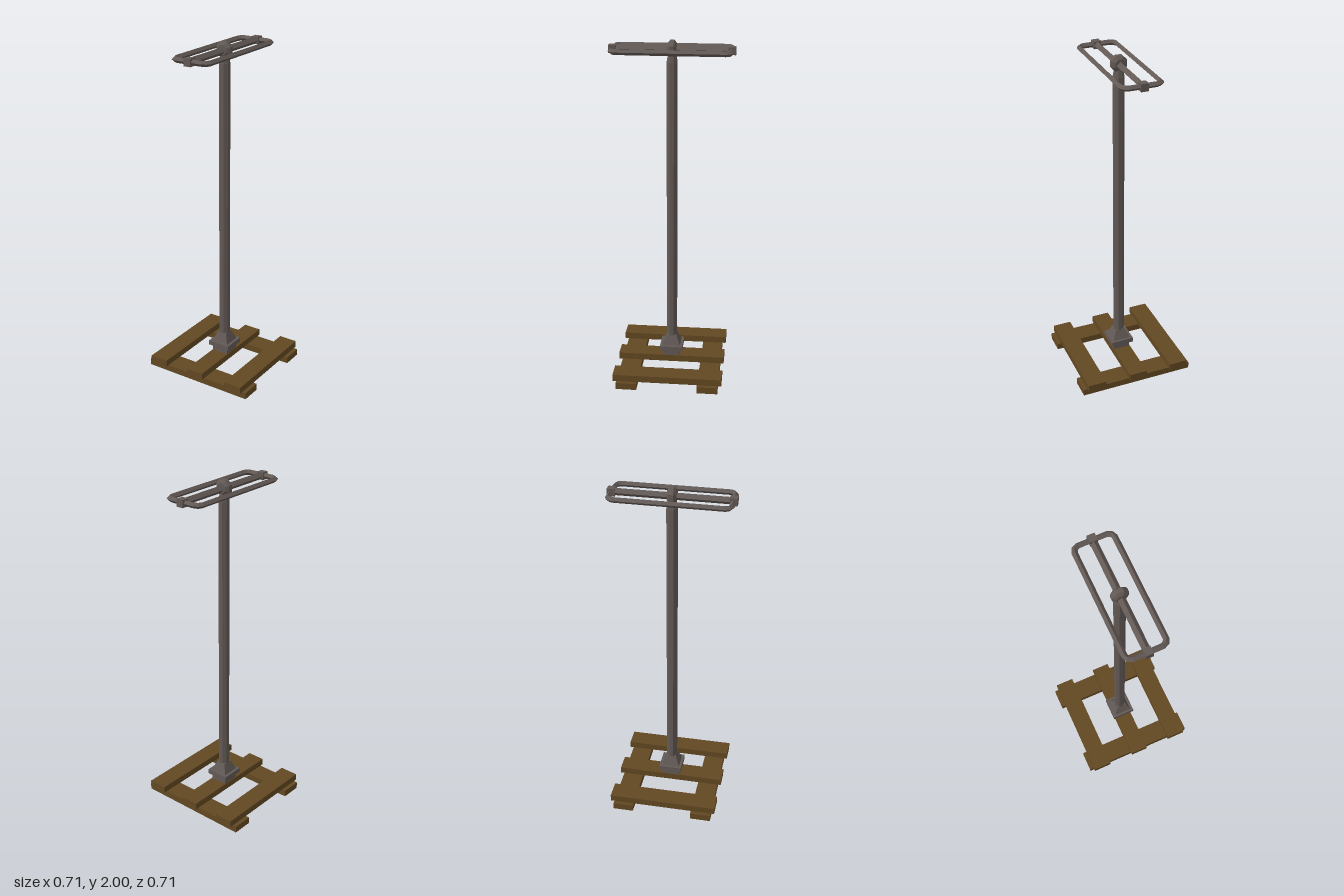
import * as THREE from 'three';

const wood = new THREE.MeshStandardMaterial({ color: 0x634822, flatShading: true });
wood.name = 'brown wood';
const iron = new THREE.MeshStandardMaterial({ color: 0x625955, flatShading: true });
iron.name = 'dark iron';

function add(parent, name, geometry, material, x = 0, y = 0, z = 0) {
  const mesh = new THREE.Mesh(geometry, material);
  mesh.name = name;
  mesh.position.set(x, y, z);
  parent.add(mesh);
  return mesh;
}

// Regular prism or frustum with flats facing the axes; radii are measured to the flats
function prism(topApothem, bottomApothem, height, sides) {
  const k = 1 / Math.cos(Math.PI / sides);
  return new THREE.CylinderGeometry(topApothem * k, bottomApothem * k, height, sides)
    .rotateY(Math.PI / sides);
}

// Closed horizontal loop with a diamond cross-section and mitred corners
function diamondLoop(path, r) {
  const n = path.length, positions = [], index = [];
  path.forEach((p, i) => {
    const a = p.clone().sub(path[(i + n - 1) % n]).normalize();
    const b = path[(i + 1) % n].clone().sub(p).normalize();
    const na = new THREE.Vector2(a.y, -a.x), nb = new THREE.Vector2(b.y, -b.x);
    const m = na.clone().add(nb).normalize();
    m.multiplyScalar(r / m.dot(na));
    positions.push(p.x + m.x, 0, p.y + m.y, p.x, r, p.y,
      p.x - m.x, 0, p.y - m.y, p.x, -r, p.y);
  });
  for (let i = 0; i < n; i++) {
    for (let j = 0; j < 4; j++) {
      const a = i * 4 + j, b = i * 4 + (j + 1) % 4;
      const c = ((i + 1) % n) * 4 + j, d = ((i + 1) % n) * 4 + (j + 1) % 4;
      index.push(a, b, c, b, d, c);
    }
  }
  const geometry = new THREE.BufferGeometry();
  geometry.setAttribute('position', new THREE.Float32BufferAttribute(positions, 3));
  geometry.setIndex(index);
  const flat = geometry.toNonIndexed();
  flat.computeVertexNormals();
  return flat;
}

export function createModel() {
  const model = new THREE.Group();
  model.name = 'polePerch';

  // Pallet: two runners below three cross boards
  const pallet = new THREE.Group();
  pallet.name = 'palletBase';
  model.add(pallet);
  for (const x of [-0.239, 0.239]) {
    add(pallet, 'runner', new THREE.BoxGeometry(0.122, 0.04, 0.694), wood, x, 0.02, 0);
  }
  for (const [z, width] of [[-0.267, 0.113], [0, 0.108], [0.267, 0.113]]) {
    add(pallet, 'crossBoard', new THREE.BoxGeometry(0.643, 0.04, width), wood, 0, 0.06, z);
  }

  // Stepped foot of the pole
  add(model, 'footBlock', new THREE.BoxGeometry(0.103, 0.04, 0.103), iron, 0, 0.1, 0);
  add(model, 'footPlate', new THREE.BoxGeometry(0.136, 0.028, 0.14), iron, 0, 0.132, 0);
  add(model, 'footTaper', prism(0.029, 0.053, 0.06, 4), iron, 0, 0.176, 0);

  // Octagonal pole with a narrowed neck
  add(model, 'pole', prism(0.03, 0.03, 1.69, 8), iron, 0, 1.035, 0);
  add(model, 'poleNeck', prism(0.021, 0.03, 0.05, 8), iron, 0, 1.905, 0);

  // Bevelled octagonal hub lying across the pole top
  const k = 1 / Math.cos(Math.PI / 8);
  const profile = [[0, -0.026], [0.028, -0.026], [0.045, -0.012],
    [0.045, 0.012], [0.028, 0.026], [0, 0.026]]
    .map(([r, y]) => new THREE.Vector2(r * k, y));
  const hub = new THREE.LatheGeometry(profile, 8).rotateY(Math.PI / 8).rotateZ(-Math.PI / 2);
  add(model, 'hub', hub, iron, 0, 1.955, 0);

  // Central bar set on edge, with a cube at each end
  const bar = new THREE.CylinderGeometry(0.021, 0.021, 0.66, 4).rotateZ(Math.PI / 2);
  add(model, 'centralBar', bar, iron, 0, 1.95, 0);
  for (const x of [-0.331, 0.331]) {
    add(model, 'endCube', new THREE.BoxGeometry(0.043, 0.043, 0.043), iron, x, 1.95, 0);
  }

  // Outer rail loop with two-step corners
  const corner = [[0.33, 0.079], [0.321, 0.1], [0.301, 0.11]];
  const path = [];
  for (const [sx, sz] of [[1, 1], [-1, 1], [-1, -1], [1, -1]]) {
    const points = corner.map(([x, z]) => new THREE.Vector2(x * sx, z * sz));
    path.push(...(sx * sz > 0 ? points : points.reverse()));
  }
  add(model, 'outerRail', diamondLoop(path, 0.016), iron, 0, 1.95, 0);

  // Slight turn of the whole piece
  model.rotation.y = 0.024;
  const root = new THREE.Group();
  root.name = 'perchStand';
  root.add(model);
  return root;
}
